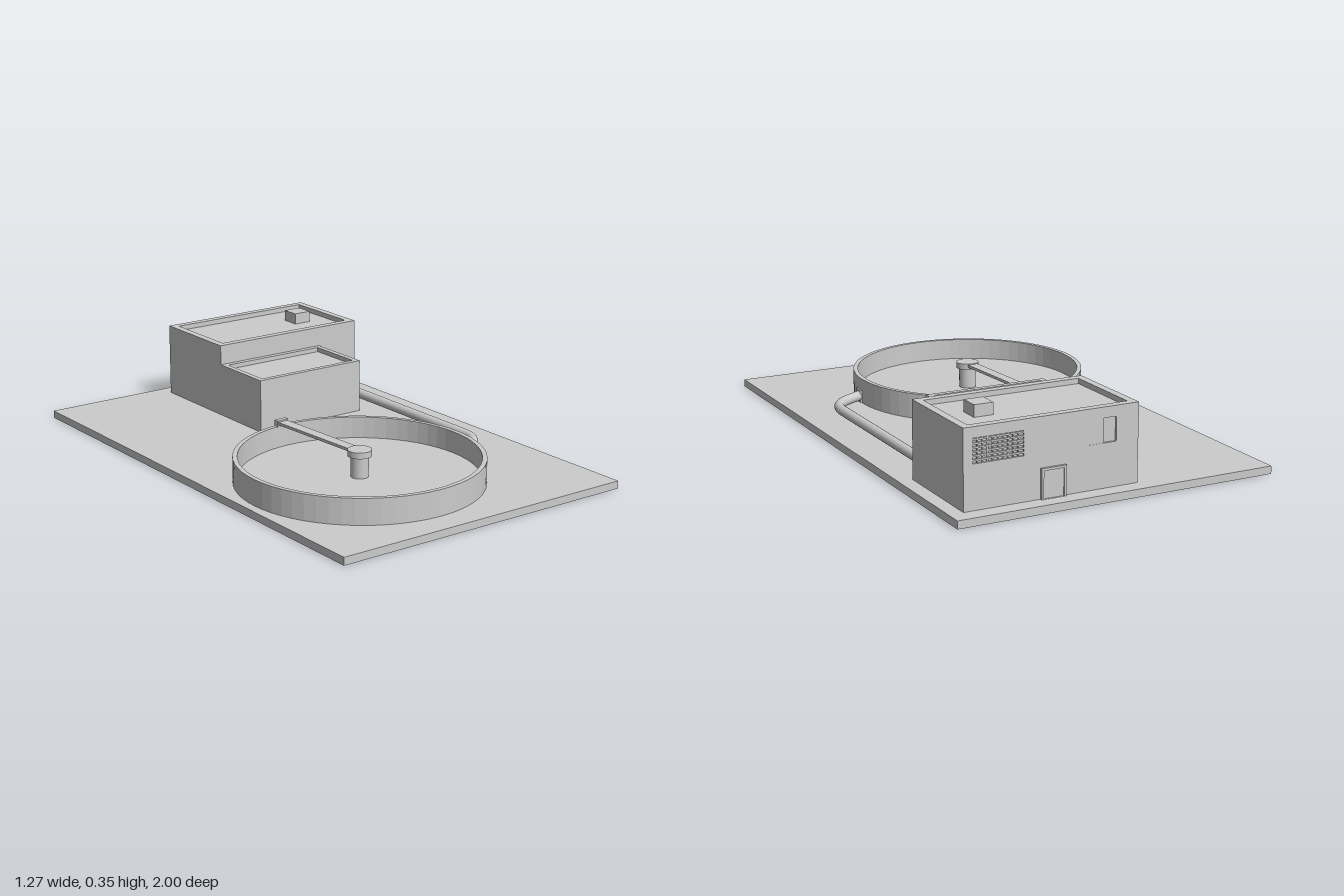
import * as THREE from 'three';

const grey = new THREE.MeshStandardMaterial({ color: 0xcccccc });
const flat = new THREE.MeshStandardMaterial({ color: 0xcccccc, flatShading: true });

function add(parent, name, geometry, material = grey) {
  const mesh = new THREE.Mesh(geometry, material);
  mesh.name = name;
  parent.add(mesh);
  return mesh;
}

// Box given by its minimum and maximum on each axis
function box(parent, name, x0, x1, y0, y1, z0, z1) {
  const mesh = add(parent, name, new THREE.BoxGeometry(x1 - x0, y1 - y0, z1 - z0));
  mesh.position.set((x0 + x1) / 2, (y0 + y1) / 2, (z0 + z1) / 2);
  return mesh;
}

function rect(x0, x1, y0, y1, Type = THREE.Path) {
  const s = new Type();
  s.moveTo(x0, y0);
  s.lineTo(x1, y0);
  s.lineTo(x1, y1);
  s.lineTo(x0, y1);
  s.closePath();
  return s;
}

// Rectangular parapet around a sunken roof
function parapet(parent, name, x0, x1, z0, z1, y0, y1, inset) {
  const shape = rect(x0, x1, -z1, -z0, THREE.Shape);
  shape.holes.push(rect(x0 + inset, x1 - inset, -z1 + inset, -z0 - inset));
  const geo = new THREE.ExtrudeGeometry(shape, { depth: y1 - y0, bevelEnabled: false });
  geo.rotateX(-Math.PI / 2).translate(0, y0, 0);
  return add(parent, name, geo);
}

export function createModel() {
  const model = new THREE.Group();
  model.name = 'treatmentPlant';
  const ground = 0.03;
  box(model, 'baseSlab', -0.635, 0.635, 0, ground, -1, 1);

  // Main building with sunken roof and a back wall with openings
  const main = new THREE.Group();
  main.name = 'mainBuilding';
  model.add(main);
  const back = -0.935;
  box(main, 'mainBody', -0.105, 0.58, ground, 0.305, back + 0.008, -0.54);
  parapet(main, 'mainParapet', -0.105, 0.58, back, -0.54, 0.305, 0.325, 0.03);
  const wall = rect(-0.105, 0.58, ground, 0.305, THREE.Shape);
  wall.holes.push(rect(0.35, 0.545, 0.195, 0.285), rect(-0.015, 0.1, 0.195, 0.285));
  const wallGeo = new THREE.ExtrudeGeometry(wall, { depth: 0.008, bevelEnabled: false });
  add(main, 'backWall', wallGeo).position.z = back;
  box(main, 'roofVent', 0.385, 0.46, 0.3, 0.35, -0.78, -0.703);

  // Ventilation grille: slats crossed by uprights
  for (let i = 0; i < 6; i++) {
    const y = 0.204 + i * 0.0145;
    box(main, 'grilleSlat', 0.35, 0.545, y, y + 0.006, back + 0.001, back + 0.008);
  }
  for (let i = 1; i < 10; i++) {
    const x = 0.35 + i * 0.0195;
    box(main, 'grilleBar', x - 0.002, x + 0.002, 0.195, 0.285, back + 0.003, back + 0.008);
  }
  box(main, 'windowSash', 0.035, 0.1, 0.195, 0.285, back + 0.001, back + 0.008);

  // Back door in a projecting frame
  const frame = rect(0.187, 0.285, ground, 0.142, THREE.Shape);
  frame.holes.push(rect(0.196, 0.276, ground + 0.001, 0.133));
  const frameGeo = new THREE.ExtrudeGeometry(frame, { depth: 0.01, bevelEnabled: false });
  add(main, 'doorFrame', frameGeo).position.z = back - 0.01;
  box(main, 'door', 0.196, 0.276, ground, 0.133, back - 0.005, back);

  // Lower annex
  const annex = new THREE.Group();
  annex.name = 'annex';
  model.add(annex);
  box(annex, 'annexBody', -0.105, 0.39, ground, 0.227, -0.54, -0.255);
  parapet(annex, 'annexParapet', -0.105, 0.39, -0.54, -0.255, 0.227, 0.245, 0.022);

  // Round basin: open ring with a raised floor
  const tank = new THREE.Group();
  tank.name = 'tank';
  tank.position.set(-0.13, 0, 0.425);
  model.add(tank);
  const profile = [[0, 0.045], [0.452, 0.045], [0.452, 0.13], [0.47, 0.13], [0.47, ground]]
    .map(([r, y]) => new THREE.Vector2(r, y)).reverse();
  add(tank, 'tankWall', new THREE.LatheGeometry(profile, 64), flat);

  // Centre post, cap and sweeping arm reaching the rim
  add(tank, 'centrePost', new THREE.CylinderGeometry(0.034, 0.034, 0.085, 24)).position.y = 0.0875;
  add(tank, 'postCap', new THREE.CylinderGeometry(0.046, 0.046, 0.024, 32)).position.y = 0.138;
  const arm = new THREE.Group();
  arm.name = 'sweepArm';
  arm.rotation.y = 0.066;
  tank.add(arm);
  box(arm, 'armBeam', -0.022, 0.022, 0.136, 0.147, -0.46, -0.02);
  box(arm, 'armCarriage', -0.026, 0.026, 0.128, 0.153, -0.47, -0.45);

  // Pipe from the basin to the main building, with end flanges
  const v = (x, z) => new THREE.Vector3(x, 0.056, z);
  const path = new THREE.CurvePath();
  path.add(new THREE.LineCurve3(v(0.325, 0.472), v(0.4, 0.431)));
  path.add(new THREE.CubicBezierCurve3(v(0.4, 0.431), v(0.455, 0.4), v(0.488, 0.36), v(0.488, 0.29)));
  path.add(new THREE.LineCurve3(v(0.488, 0.29), v(0.488, -0.54)));
  add(model, 'pipe', new THREE.TubeGeometry(path, 80, 0.02, 20, false));
  box(model, 'buildingFlange', 0.455, 0.52, ground, 0.092, -0.541, -0.53);
  const flange = add(model, 'tankFlange', new THREE.BoxGeometry(0.012, 0.05, 0.05));
  flange.position.set(0.339, 0.057, 0.466);
  flange.rotation.y = -0.09;
  return model;
}
